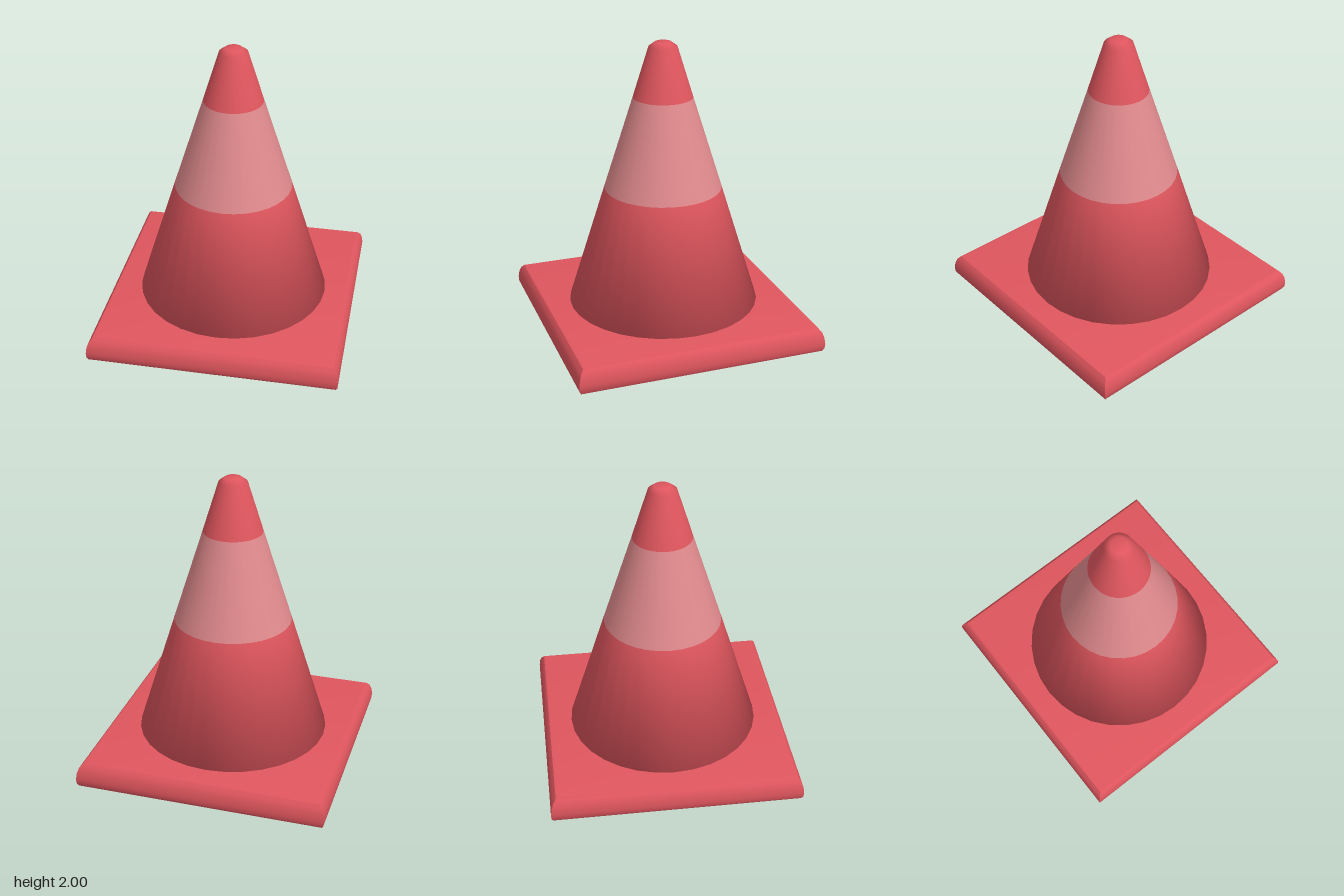
import * as THREE from 'three';
import { toCreasedNormals } from 'three/addons/utils/BufferGeometryUtils.js';

const red = new THREE.MeshStandardMaterial({ color: 0xe0565e });
const pale = new THREE.MeshStandardMaterial({ color: 0xe08a8d });

// Revolve a [radius, height] profile, listed from bottom to top
function revolve(profile, segments, phiStart = 0) {
  const points = profile.map(([r, y]) => new THREE.Vector2(r, y));
  return new THREE.LatheGeometry(points, segments, phiStart);
}

export function createModel() {
  const model = new THREE.Group();
  const add = (name, geometry, material) => {
    const mesh = new THREE.Mesh(geometry, material);
    mesh.name = name;
    model.add(mesh);
  };

  // Square base plate: a four-sided revolve with a bulging rim and mitred corners
  const rim = [
    [0, 0], [0.78, 0], [0.835, 0.015], [0.845, 0.035], [0.848, 0.07],
    [0.842, 0.115], [0.83, 0.15], [0.81, 0.175], [0.79, 0.18], [0, 0.18],
  ];
  const plate = revolve(rim.map(([half, y]) => [half * Math.SQRT2, y]), 4, Math.PI / 4);
  add('basePlate', toCreasedNormals(plate, 0.6), red);

  // Cone body in three stacked sections, closed underneath and rounded at the tip
  add('lowerCone', revolve([[0, 0.18], [0.652, 0.18], [0.398, 1]], 32), red);
  add('reflectiveBand', revolve([[0.398, 1], [0.2, 1.63]], 32), pale);
  add('coneTip', revolve([[0.2, 1.63], [0.095, 1.97], [0.055, 2], [0, 2]], 32), red);

  return model;
}
